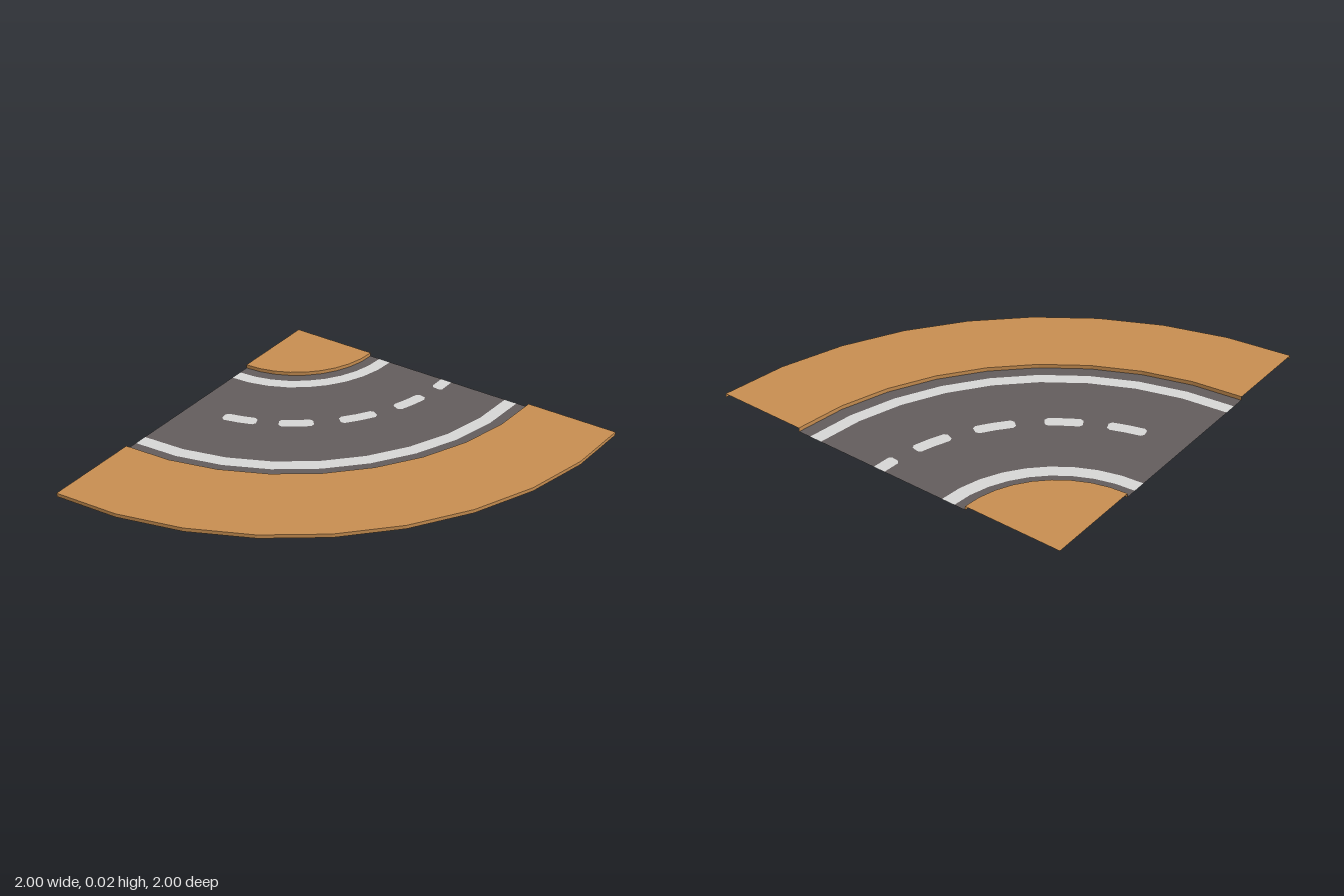
import * as THREE from 'three';

const SEGMENTS = 9;      // facets in the quarter turn
const CURB = 0.02;       // height of the ground above the road
const rad = THREE.MathUtils.degToRad;

// Point at radius r and angle a (degrees) around the corner x = -1, z = -1
const polar = (r, a) => new THREE.Vector2(-1 + r * Math.cos(rad(a)), 1 - r * Math.sin(rad(a)));

// Points along a faceted quarter arc
function arc(r) {
  if (r === 0) return [polar(0, 0)];
  return Array.from({ length: SEGMENTS + 1 }, (_, i) => polar(r, (i * 90) / SEGMENTS));
}

// Closed quarter ring, with optional extra points along its starting edge
const ring = (inner, outer, edge = []) => new THREE.Shape([...arc(outer), ...arc(inner).reverse(), ...edge]);

// Dash outline with clipped corners; a dash starting at 0 is cut square by the edge
function dashOutline(a0, a1) {
  const lo = 0.965, hi = 1.03, c = 0.014, d = 0.9;
  const end = [[lo, a1 - d], [lo + c, a1], [hi - c, a1], [hi, a1 - d]];
  const mid = (a0 + a1) / 2;
  const start = a0 === 0 ? [[hi, 0], [lo, 0]] : [[hi, a0 + d], [hi - c, a0], [lo + c, a0], [lo, a0 + d]];
  return [[lo, mid], ...end, [hi, mid], ...start].map(([r, a]) => polar(r, a));
}

export function createModel() {
  const group = new THREE.Group();
  const material = (name, color) =>
    new THREE.MeshStandardMaterial({ name, color, side: THREE.DoubleSide, flatShading: true });
  const dirt = material('dirt', 0xc68d50);
  const asphalt = material('asphalt', 0x625c5c);
  const paint = material('road paint', 0xd5d5d4);

  function add(name, geometry, mat) {
    const mesh = new THREE.Mesh(geometry, mat);
    mesh.name = name;
    group.add(mesh);
  }
  const flat = (name, shape, mat, y = 0) =>
    add(name, new THREE.ShapeGeometry(shape).rotateX(-Math.PI / 2).translate(0, y, 0), mat);
  const wall = (name, r) =>
    add(name, new THREE.CylinderGeometry(r, r, CURB, SEGMENTS, 1, true, 0, Math.PI / 2)
      .translate(-1, CURB / 2, -1), dirt);

  // Raised ground on both sides of the bend, with its vertical edges
  flat('innerGround', ring(0, 0.5), dirt, CURB);
  flat('outerGround', ring(1.5, 2), dirt, CURB);
  wall('innerCurb', 0.5);
  wall('outerCurb', 1.5);
  wall('outerSkirt', 2);

  // Road shoulders and solid edge lines
  flat('innerShoulder', ring(0.5, 0.56), asphalt);
  flat('innerLine', ring(0.56, 0.63), paint);
  flat('outerLine', ring(1.36, 1.43), paint);
  flat('outerShoulder', ring(1.43, 1.5), asphalt);

  // Broken centre line, let into the road surface
  const firstDash = [[0.965, 0], [0.965, 5.2], [0.979, 6], [1.016, 6], [1.03, 5.2], [1.03, 0]]
    .map(([r, a]) => polar(r, a));
  const dashes = [[12.6, 23.4], [30.5, 42], [50, 60.5], [67.2, 77.8]].map(([a, b]) => dashOutline(a, b));
  const road = ring(0.63, 1.36, firstDash);
  road.holes = dashes.map((points) => new THREE.Path(points));
  flat('roadSurface', road, asphalt);
  [firstDash, ...dashes].forEach((points, i) => flat(`centreDash${i + 1}`, new THREE.Shape(points), paint));

  return group;
}
